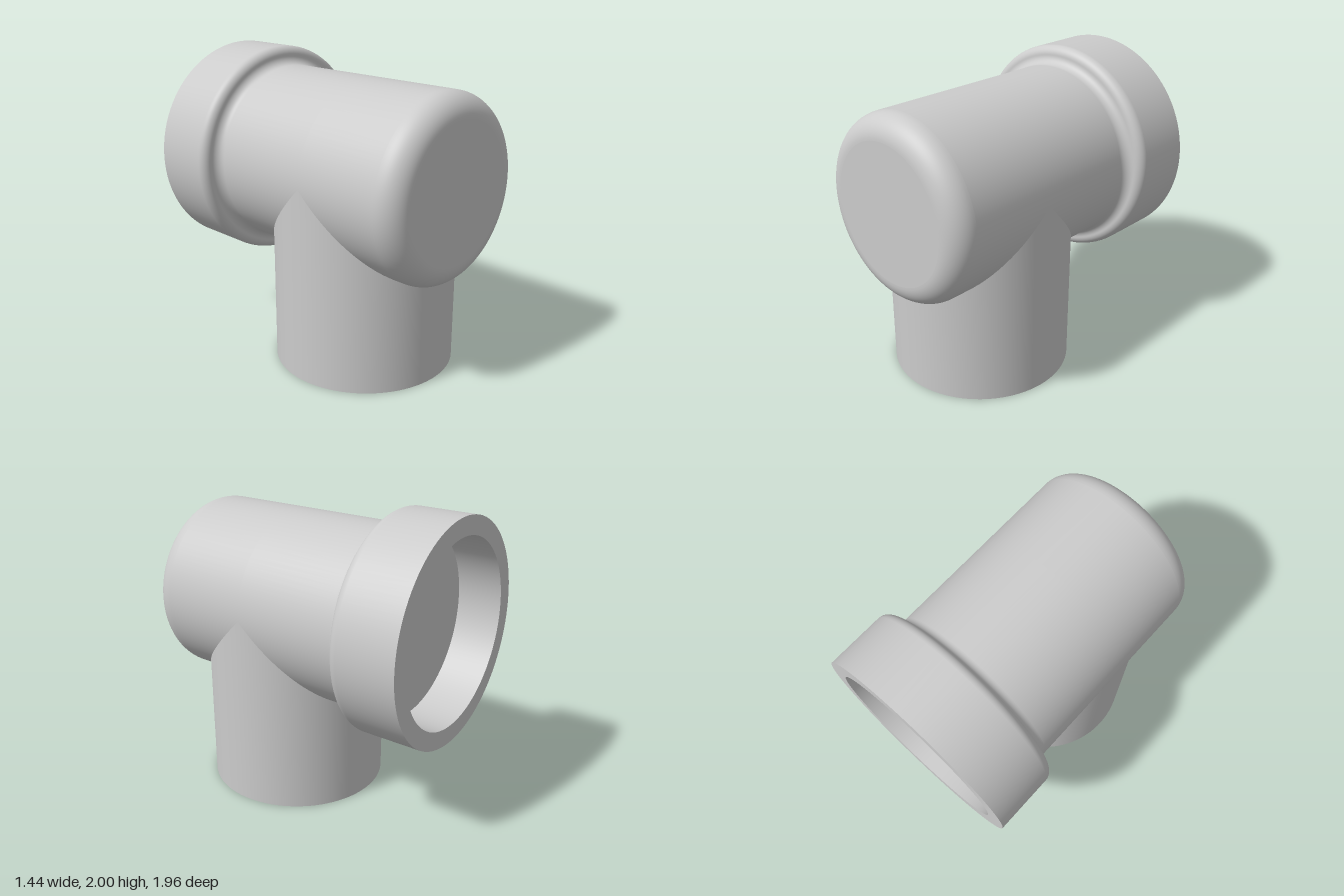
import * as THREE from 'three';

const SEG = 96;
const R = 0.6;          // pipe and branch radius
const AXIS_Y = 1.28;    // height of the pipe axis
const BRANCH_Z = 0.23;  // position of the branch along the pipe
const material = new THREE.MeshStandardMaterial({ color: 0xcccccc });

function addMesh(parent, name, geometry) {
  const mesh = new THREE.Mesh(geometry, material);
  mesh.name = name;
  parent.add(mesh);
  return mesh;
}

// Quarter-round profile points [radius, z]
function arc(r, z, size, from, to, steps = 16) {
  return Array.from({ length: steps + 1 }, (_, i) => {
    const a = from + (to - from) * i / steps;
    return [r + size * Math.cos(a), z + size * Math.sin(a)];
  });
}

// Each profile piece is turned separately so edges between pieces stay sharp
function addTurned(parent, name, pieces) {
  const group = new THREE.Group();
  group.name = name;
  for (const [pieceName, pts] of Object.entries(pieces)) {
    const points = pts.map(([r, z]) => new THREE.Vector2(r, z));
    addMesh(group, pieceName, new THREE.LatheGeometry(points, SEG).rotateX(Math.PI / 2));
  }
  parent.add(group);
}

// Pipe wall from zBack to zFront; one end is mitred below the axis around the branch
function sleeve(zBack, zFront, mitreFront) {
  const geo = new THREE.CylinderGeometry(R, R, 2, SEG, 1, true).rotateX(Math.PI / 2);
  const p = geo.attributes.position;
  for (let i = 0; i < p.count; i++) {
    const cut = Math.max(0, -p.getY(i));
    const front = p.getZ(i) > 0;
    let z = front ? zFront : zBack;
    if (front === mitreFront) z += mitreFront ? -cut : cut;
    p.setZ(i, z);
  }
  return geo;
}

export function createModel() {
  const model = new THREE.Group();
  model.name = 'pipeTee';
  const H = Math.PI / 2;

  // Horizontal run
  const run = new THREE.Group();
  run.name = 'mainPipe';
  run.position.y = AXIS_Y;
  model.add(run);
  addMesh(run, 'frontWall', sleeve(BRANCH_Z, 0.83, false));
  addMesh(run, 'backWall', sleeve(-0.47, BRANCH_Z, true));

  // Closed front end with a rounded edge
  addTurned(run, 'endCap', {
    capRound: arc(0.45, 0.83, 0.15, 0, H),
    capFace: [[0.45, 0.98], [0, 0.98]],
  });

  // Back socket with a shallow bore and an S-shaped shoulder
  addTurned(run, 'socket', {
    boreFloor: [[0, -0.68], [R, -0.68]],
    boreWall: [[R, -0.68], [R, -0.98]],
    rim: [[R, -0.98], [0.72, -0.98]],
    outerWall: [[0.72, -0.98], [0.72, -0.59]],
    shoulder: [
      ...arc(0.66, -0.59, 0.06, 0, H),
      ...arc(0.66, -0.47, 0.06, -H, -Math.PI).slice(1),
    ],
  });

  // Downward branch, its top mitred to meet the run
  const branch = new THREE.Group();
  branch.name = 'branch';
  branch.position.z = BRANCH_Z;
  model.add(branch);
  const wall = new THREE.CylinderGeometry(R, R, 2, SEG, 1, true);
  const p = wall.attributes.position;
  for (let i = 0; i < p.count; i++) {
    p.setY(i, p.getY(i) > 0 ? AXIS_Y - Math.abs(p.getZ(i)) : 0);
  }
  addMesh(branch, 'branchWall', wall);
  addMesh(branch, 'branchBase', new THREE.CircleGeometry(R, SEG).rotateX(H));

  return model;
}
